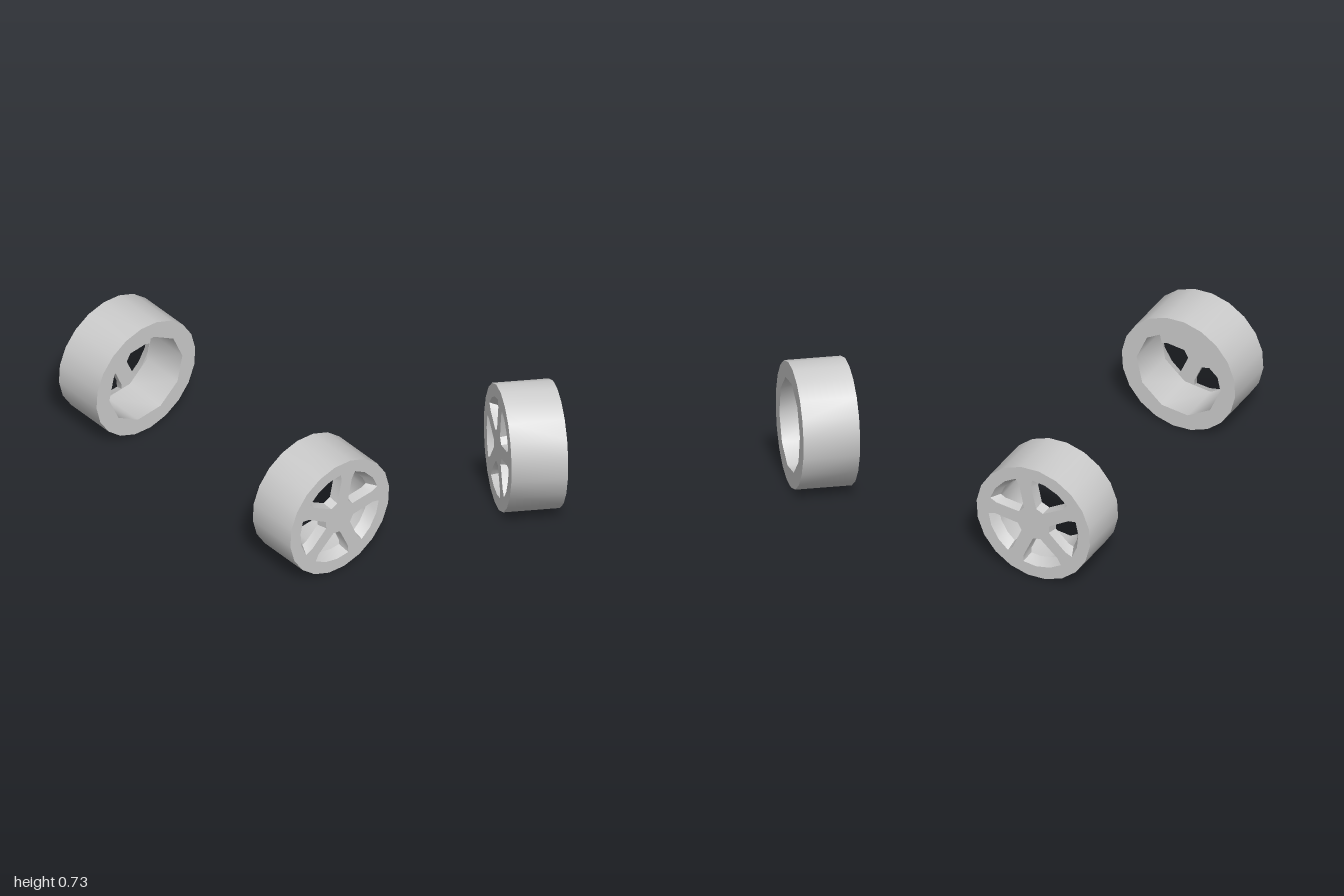
import * as THREE from 'three';
import { mergeGeometries, toCreasedNormals } from 'three/addons/utils/BufferGeometryUtils.js';

const DEG = Math.PI / 180;
const RADIUS = 0.365, BARREL = 0.27;           // outer and inner radius
const BACK = 0.675, PLATE = 0.94, FACE = 1;    // inner side, plate back, outer face
const TURN = 5.5;                              // twist of the polygons in degrees

const polar = (r, deg) => new THREE.Vector2(r * Math.cos(deg * DEG), r * Math.sin(deg * DEG));

const polygon = (r, n, start) =>
  Array.from({ length: n }, (_, i) => polar(r, start + (i * 360) / n));

// One window between two spokes: half outline [radius, angle], mirrored about its middle
function windowLoop(half, middle) {
  const lower = half.map(([r, a]) => polar(r, middle - a));
  const upper = half.map(([r, a]) => polar(r, middle + a)).reverse();
  return [...lower, ...upper];
}

// Strip of quads between two matching loops
function band(a, wa, b, wb) {
  const pos = [];
  a.forEach((p, i) => {
    const j = (i + 1) % a.length;
    const q = a[j], r = b[j], s = b[i];
    pos.push(p.x, p.y, wa, q.x, q.y, wa, r.x, r.y, wb);
    pos.push(p.x, p.y, wa, r.x, r.y, wb, s.x, s.y, wb);
  });
  return new THREE.BufferGeometry().setAttribute('position', new THREE.Float32BufferAttribute(pos, 3));
}

// Flat face with holes, turned to the back if asked
function cap(outline, holes, w, back = false) {
  const shape = new THREE.Shape(outline);
  shape.holes = holes.map((h) => new THREE.Path(h));
  const geo = new THREE.ShapeGeometry(shape);
  if (back) geo.index.array.reverse();
  geo.deleteAttribute('normal');
  geo.deleteAttribute('uv');
  return geo.toNonIndexed().translate(0, 0, w);
}

function part(name, pieces, material) {
  // turn the axle from z to x
  const geo = mergeGeometries(pieces).rotateY(Math.PI / 2);
  const mesh = new THREE.Mesh(toCreasedNormals(geo, 40 * DEG), material);
  mesh.name = name;
  return mesh;
}

function createWheel(name, material) {
  const outer = polygon(RADIUS, 20, TURN);
  const barrel = polygon(BARREL, 10, TURN);

  // Windows taper towards the back of the plate
  const frontHalf = [[0.104, 13.2], [0.244, 27], [0.288, 25.2], [0.289, 9]];
  const backHalf = [[0.117, 12.8], [0.223, 24], [0.255, 22.8], [0.256, 9.2]];
  const middles = [0, 1, 2, 3, 4].map((k) => 180 + TURN + k * 72);
  const front = middles.map((m) => windowLoop(frontHalf, m));
  const back = middles.map((m) => windowLoop(backHalf, m));

  const wheel = new THREE.Group();
  wheel.name = name;
  wheel.add(
    // Tread, inner side ring and hollow barrel
    part('tyre', [
      band(outer, BACK, outer, FACE),
      cap(outer, [barrel], BACK, true),
      band(barrel, PLATE, barrel, BACK),
    ], material),
    // Five-spoke plate with tapered windows
    part('spokedFace', [
      cap(outer, front, FACE),
      cap(barrel, back, PLATE, true),
      ...front.map((loop, i) => band(loop, FACE, back[i], PLATE)),
    ], material),
  );
  wheel.position.y = RADIUS;
  return wheel;
}

export function createModel() {
  const material = new THREE.MeshStandardMaterial({ color: 0xcccccc });
  const model = new THREE.Group();
  model.name = 'wheelPair';
  const left = createWheel('leftWheel', material);
  const right = createWheel('rightWheel', material);
  right.scale.x = -1;
  model.add(left, right);
  return model;
}
